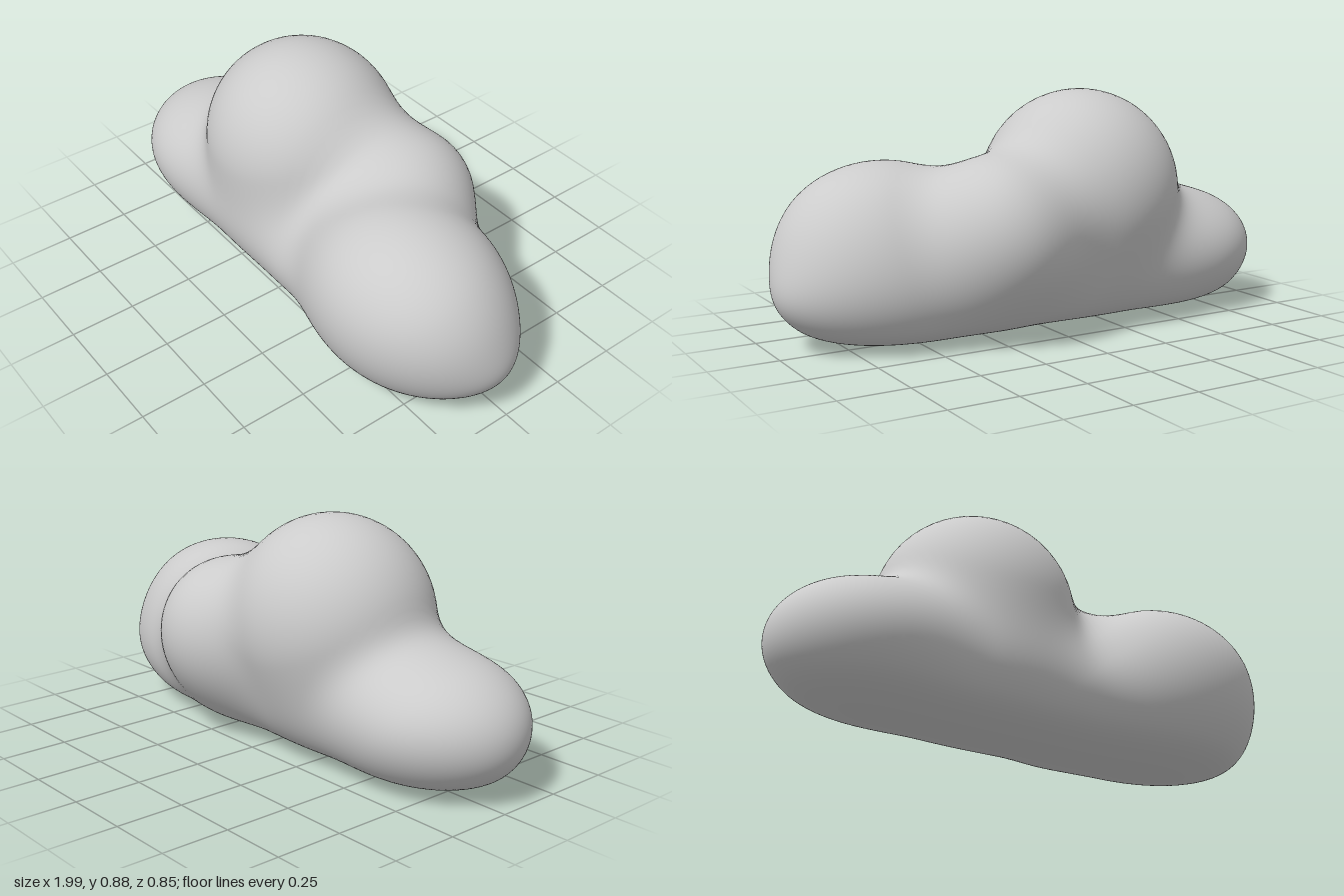
import * as THREE from 'three';
import { mergeVertices } from 'three/addons/utils/BufferGeometryUtils.js';

// Puffs of the cloud: centre, radii, and half length of a straight run along x
const puffs = [
  { c: [0, 0.215, 0.035], r: [0.665, 0.235, 0.29], run: 0.3 },    // long base
  { c: [-0.2, 0.51, -0.02], r: [0.38, 0.38, 0.365], run: 0 },     // tall middle puff
  { c: [0.56, 0.34, 0.1], r: [0.39, 0.315, 0.325], run: 0 },      // front left puff
  { c: [0.22, 0.4, -0.16], r: [0.27, 0.275, 0.265], run: 0 },     // back puff
  { c: [-0.66, 0.255, 0.035], r: [0.31, 0.21, 0.3], run: 0 },     // low right puff
];
const BLEND = 0.16;
const FLOOR_BLEND = 0.1;

// Approximate signed distance to one stretched ellipsoid
function puffDistance({ c, r, run }, p) {
  let x = p.x - c[0];
  x -= THREE.MathUtils.clamp(x, -run, run);
  const y = p.y - c[1], z = p.z - c[2];
  const k0 = Math.hypot(x / r[0], y / r[1], z / r[2]);
  const k1 = Math.hypot(x / r[0] ** 2, y / r[1] ** 2, z / r[2] ** 2);
  return k1 < 1e-6 ? -Math.min(...r) : k0 * (k0 - 1) / k1;
}

// Minimum with a rounded transition of width k
function smoothMin(a, b, k) {
  const h = Math.max(k - Math.abs(a - b), 0) / k;
  return Math.min(a, b) - h * h * k / 4;
}

// Smooth union of all puffs, with the underside softly flattened at y = 0
function cloudDistance(p) {
  const union = puffs.map((puff) => puffDistance(puff, p)).reduce((a, b) => smoothMin(a, b, BLEND));
  return -smoothMin(-union, p.y, FLOOR_BLEND);
}

// Outermost surface point along a ray from the cloud's spine
function surfacePoint(dir) {
  const origin = new THREE.Vector3(dir.x * 0.7, 0.27, 0);
  const p = new THREE.Vector3();
  const at = (t) => cloudDistance(p.copy(origin).addScaledVector(dir, t));
  let outside = 1.2;
  while (outside > 0.02 && at(outside - 0.02) > 0) outside -= 0.02;
  let inside = outside - 0.02;
  for (let i = 0; i < 14; i++) {
    const mid = (inside + outside) / 2;
    if (at(mid) > 0) outside = mid; else inside = mid;
  }
  at(inside);
  return p;
}

export function createModel() {
  // A sphere with its poles on x, pushed out to the blended surface
  let geometry = new THREE.SphereGeometry(1, 128, 110);
  geometry.rotateZ(-Math.PI / 2);
  geometry.deleteAttribute('uv');
  geometry.deleteAttribute('normal');
  geometry = mergeVertices(geometry, 1e-5);
  const pos = geometry.attributes.position;
  const dir = new THREE.Vector3();
  for (let i = 0; i < pos.count; i++) {
    dir.fromBufferAttribute(pos, i).normalize();
    const p = surfacePoint(dir);
    pos.setXYZ(i, p.x, p.y, p.z);
  }

  // Centre it and stand it on the ground
  geometry.computeBoundingBox();
  const mid = geometry.boundingBox.getCenter(new THREE.Vector3());
  geometry.translate(-mid.x, -geometry.boundingBox.min.y, -mid.z);
  geometry.computeVertexNormals();

  const cloud = new THREE.Mesh(geometry, new THREE.MeshStandardMaterial({ color: 0xcccccc }));
  cloud.name = 'cloud';
  const group = new THREE.Group();
  group.name = 'cloudModel';
  group.add(cloud);
  return group;
}
